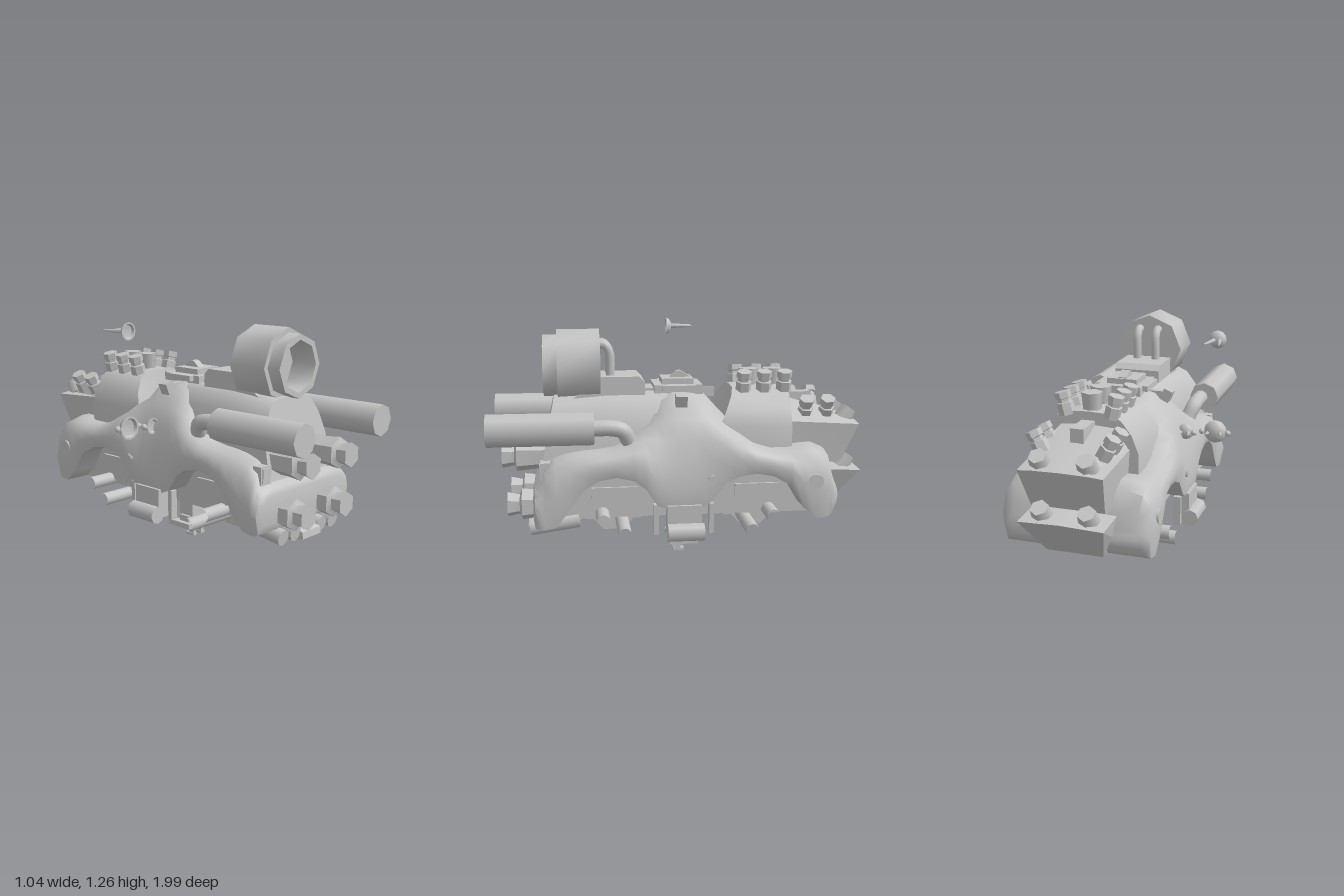
import * as THREE from 'three';
import { toCreasedNormals } from 'three/addons/utils/BufferGeometryUtils.js';

const grey = new THREE.MeshStandardMaterial({ color: 0xc4c4c4 });
grey.name = 'bare grey';

export function createModel() {
  const model = new THREE.Group();
  const vehicle = new THREE.Group();
  vehicle.name = 'vehicle';
  vehicle.position.x = 0.073;
  model.add(vehicle);

  const add = (name, geo, x = 0, y = 0, z = 0, parent = vehicle) => {
    const mesh = new THREE.Mesh(geo, grey);
    mesh.name = name;
    mesh.position.set(x, y, z);
    parent.add(mesh);
    return mesh;
  };
  const pair = (fn) => [1, -1].forEach(fn);
  const box = (name, w, h, d, x, y, z) => add(name, new THREE.BoxGeometry(w, h, d), x, y, z);
  const rodZ = (name, r, z0, z1, x, y, sides = 8) =>
    add(name, new THREE.CylinderGeometry(r, r, z1 - z0, sides).rotateX(Math.PI / 2), x, y, (z0 + z1) / 2);
  const lathe = (pts, sides) => toCreasedNormals(
    new THREE.LatheGeometry(pts.map(([r, y]) => new THREE.Vector2(r, y)), sides), 0.9);
  const pipe = (name, pts, r) => add(name, new THREE.TubeGeometry(
    new THREE.CatmullRomCurve3(pts.map((p) => new THREE.Vector3(...p))), 16, r, 10));

  // Side outline given as [z, y], given a width along x
  const slab = (name, pts, width, x = 0) => {
    const shape = new THREE.Shape(pts.map(([z, y]) => new THREE.Vector2(-z, y)));
    const geo = new THREE.ExtrudeGeometry(shape, { depth: width, bevelEnabled: false });
    return add(name, geo.rotateY(Math.PI / 2), x - width / 2);
  };

  // Skin over mirrored half sections, ordered front to back; each half runs from low edge to crown
  const loft = (halves, crease) => {
    const rings = halves.map((h) => [...h, ...h.slice(0, -1).reverse().map(([x, y, z]) => [-x, y, z])]);
    const n = rings[0].length, index = [];
    for (let i = 0; i < rings.length - 1; i++) {
      for (let j = 0; j < n; j++) {
        const a = i * n + j, b = i * n + (j + 1) % n;
        index.push(a, a + n, b, b, a + n, b + n);
      }
    }
    const last = (rings.length - 1) * n;
    for (let j = 1; j < n - 1; j++) index.push(0, j, j + 1, last, last + j + 1, last + j);
    const geo = new THREE.BufferGeometry();
    geo.setAttribute('position', new THREE.Float32BufferAttribute(rings.flat(2), 3));
    geo.setIndex(index);
    return toCreasedNormals(geo, crease);
  };

  // Hull: [z, underside, crown, width scale]; low stations are flat topped, high ones domed
  const stations = [
    [0.775, 0.3, 0.44, 0.93], [0.765, 0.26, 0.475, 1], [0.735, 0.25, 0.487, 1.01], [0.715, 0.25, 0.57, 1],
    [0.66, 0.26, 0.605, 1], [0.59, 0.35, 0.625, 1], [0.52, 0.45, 0.635, 1], [0.44, 0.5, 0.64, 1],
    [0.35, 0.515, 0.655, 1], [0.26, 0.495, 0.71, 1], [0.2, 0.45, 0.77, 1], [0.14, 0.36, 0.87, 1],
    [0.09, 0.34, 0.92, 1], [0.03, 0.33, 0.945, 1], [-0.08, 0.34, 0.935, 1], [-0.14, 0.37, 0.9, 1],
    [-0.22, 0.47, 0.81, 1], [-0.3, 0.505, 0.73, 1], [-0.38, 0.515, 0.66, 1], [-0.47, 0.5, 0.63, 1],
    [-0.56, 0.45, 0.63, 1.02], [-0.63, 0.33, 0.64, 1.04], [-0.7, 0.265, 0.645, 1.04],
    [-0.765, 0.275, 0.615, 1.03], [-0.795, 0.3, 0.5, 0.99], [-0.82, 0.34, 0.44, 0.92],
  ];
  const flat = [[0.37, 0], [0.39, 0.45], [0.37, 0.75], [0.33, 0.94], [0.25, 1], [0.12, 1], [0, 1]];
  const dome = [[0.37, 0], [0.385, 0.18], [0.35, 0.39], [0.32, 0.59], [0.27, 0.75], [0.17, 0.93], [0, 1]];
  const mix = THREE.MathUtils.lerp;
  add('hull', loft(stations.map(([z, low, top, w]) => {
    const k = THREE.MathUtils.clamp((top - 0.64) / 0.3, 0, 1);
    return flat.map((f, i) => [mix(f[0], dome[i][0], k) * w, mix(low, top, mix(f[1], dome[i][1], k)), z]);
  }), 1.1));
  box('chassis', 0.46, 0.22, 1.35, 0, 0.375, -0.04);

  // Rounded front hood with a raked face, and rounded rear engine cover
  const hood = [[0.26, 0.5], [0.25, 0.68], [0.215, 0.79], [0.165, 0.865], [0.11, 0.89], [0, 0.895]];
  add('frontHood', loft([
    hood.map(([x, y]) => [x, y, 0.735 - 0.2 * (y - 0.53)]),
    hood.map(([x, y]) => [x * 0.95, y + (y > 0.75 ? 0.025 : 0), 0.38]),
    hood.map(([x, y]) => [x * 0.95, y + (y > 0.75 ? 0.025 : 0), 0.06]),
  ], 0.7));
  const cover = [[0.26, 0.52], [0.26, 0.74], [0.225, 0.83], [0.17, 0.9], [0.1, 0.93], [0, 0.935]];
  add('engineCover', loft([
    cover.map(([x, y]) => [x, y, -0.2 - Math.max(0, y - 0.74) * 0.48]),
    cover.map(([x, y]) => [x, y, -0.59]),
  ], 0.6));

  // Chamfered, tapering tail blocks with angled hexagonal plugs
  add('upperTail', loft([
    [[0.2, 0.5, -0.56], [0.215, 0.76, -0.56], [0.14, 0.87, -0.56], [0, 0.88, -0.56]],
    [[0.19, 0.53, -0.88], [0.215, 0.735, -0.97], [0.14, 0.742, -0.973], [0, 0.745, -0.974]],
  ], 0.2));
  add('lowerTail', loft([
    [[0.18, 0.265, -0.6], [0.22, 0.5, -0.6], [0, 0.53, -0.6]],
    [[0.15, 0.265, -0.8], [0.22, 0.48, -0.985], [0, 0.49, -0.99]],
  ], 0.2));
  pair((s) => [0.775, 0.515].forEach((y) => {
    add('tailPlug', new THREE.CylinderGeometry(0.046, 0.054, 0.08, 6), s * 0.12, y, -0.92).rotation.x = -0.6;
  }));

  // Stub exhausts on the engine cover and tail
  const stub = lathe([[0, -0.04], [0.042, -0.04], [0.042, 0.022], [0.034, 0.026], [0.034, 0.042],
    [0.041, 0.045], [0.041, 0.078], [0, 0.078]], 6);
  pair((s) => {
    [-0.35, -0.46, -0.57].forEach((z) => {
      add('coverExhaust', stub, s * 0.125, 0.945, z).rotation.z = -s * 0.25;
    });
    [-0.68, -0.795].forEach((z) => {
      add('tailExhaust', stub, s * 0.17, 0.81, z).rotation.z = -s * 0.5;
    });
  });
  [-0.4, -0.53].forEach((z) => add('centreVent', new THREE.CylinderGeometry(0.055, 0.045, 0.1, 6), 0, 0.97, z));
  box('tailHatch', 0.07, 0.09, 0.16, 0, 0.845, -0.665);

  // Main cannon with recessed bore, pedestal and feed pipes
  add('mainCannon', lathe([[0, 0], [0.193, 0], [0.193, 0.225], [0.165, 0.225], [0.165, 0.3],
    [0.135, 0.3], [0.135, 0.15], [0, 0.15]], 8).rotateX(Math.PI / 2), 0, 1.05, 0.415);
  slab('cannonPedestal', [[0.18, 0.9], [0.18, 0.97], [0.21, 1], [0.45, 1], [0.54, 0.9], [0.6, 0.87]], 0.26);
  pair((s) => pipe('feedPipe', [[s * 0.055, 1.16, 0.43], [s * 0.055, 1.165, 0.395],
    [s * 0.055, 1.13, 0.365], [s * 0.055, 0.97, 0.36]], 0.024));

  pair((s) => {
    // Long side barrels and their curved supply pipes
    rodZ('sideBarrel', 0.085, 0.46, 1, s * 0.328, 0.765);
    pipe('barrelPipe', [[s * 0.308, 0.762, 0.48], [s * 0.308, 0.762, 0.37], [s * 0.303, 0.745, 0.31],
      [s * 0.28, 0.69, 0.28]], 0.042);
    // Front thrusters
    [[0.6, 0.7], [0.335, 0.68]].forEach(([y, z]) => add('frontThruster',
      lathe([[0, 0], [0.076, 0], [0.076, 0.08], [0.085, 0.16], [0.07, 0.165], [0.055, 0.172],
        [0.055, 0.185], [0.066, 0.235], [0, 0.235]], 6).rotateX(Math.PI / 2), s * 0.163, y, z));
    // Headlight frames with inset lamp
    box('headlightFrame', 0.08, 0.095, 0.05, s * 0.278, 0.54, 0.71);
    box('headlight', 0.058, 0.073, 0.008, s * 0.278, 0.54, 0.737);
    // Side rollers, brackets and straps
    rodZ('sideRoller', 0.048, -0.1, 0.09, s * 0.397, 0.22);
    box('rollerBracket', 0.08, 0.16, 0.18, s * 0.35, 0.28, 0);
    [-0.145, 0.145].forEach((z) => box('strap', 0.04, 0.16, 0.025, s * 0.34, 0.28, z));
    // Tilted underslung tubes
    [0.11, 0.21].forEach((x) => {
      add('noseTube', new THREE.CylinderGeometry(0.043, 0.043, 0.26, 8).rotateX(Math.PI / 2),
        s * x, 0.235, 0.67).rotation.x = 0.14;
    });
    add('sideMarker', new THREE.CylinderGeometry(0.022, 0.022, 0.02, 3).rotateZ(Math.PI / 2), s * 0.385, 0.5, -0.14);
    add('fenderPort', new THREE.CylinderGeometry(0.04, 0.04, 0.02, 12).rotateZ(Math.PI / 2), s * 0.396, 0.47, -0.69);
    // Roof side pods
    box('podArm', 0.1, 0.04, 0.035, s * 0.18, 0.89, 0);
    box('roofPod', 0.05, 0.065, 0.06, s * 0.235, 0.89, 0).rotation.z = -s * 0.4;
    // Axle tubes (open at the ends) and housings
    [[0.42, 0.29], [0.31, 0.215]].forEach(([z, y]) => add('axleTube',
      new THREE.CylinderGeometry(0.036, 0.036, 0.79, 12, 1, true).rotateZ(Math.PI / 2), 0, y, s > 0 ? z : -z - 0.05));
    const c = s > 0 ? 0.355 : -0.41;
    slab('axleHousing', [[c - 0.155, 0.28], [c - 0.155, 0.21], [c - 0.11, 0.21], [c - 0.055, 0.15],
      [c + 0.055, 0.15], [c + 0.11, 0.21], [c + 0.155, 0.21], [c + 0.155, 0.28]], 0.15);
    slab('axleCover', [[c - 0.12, 0.43], [c - 0.12, 0.36], [c - 0.07, 0.29], [c + 0.07, 0.29],
      [c + 0.12, 0.36], [c + 0.12, 0.43]], 0.49);
    // Belly guns
    box('bellyArm', 0.085, 0.035, 0.07, s * 0.06, 0.115, 0);
    box('bellySight', 0.05, 0.03, 0.16, s * 0.09, 0.075, -0.03);
    box('bellyBarrel', 0.022, 0.14, 0.035, s * 0.032, 0.07, 0);
    box('bellyMuzzle', 0.03, 0.015, 0.06, s * 0.032, 0.008, -0.01);
  });
  slab('noseChute', [[0.82, 0.18], [0.815, 0.215], [0.74, 0.25], [0.52, 0.26], [0.52, 0.215], [0.79, 0.175]], 0.15);
  box('bellyMount', 0.17, 0.14, 0.1, 0, 0.2, 0);

  // Stepped roof station
  [[0.24, 0.05, 0.26, 0.925], [0.3, 0.03, 0.18, 0.935], [0.17, 0.04, 0.17, 0.96]].forEach(
    ([w, h, d, y]) => box('roofStep', w, h, d, 0, y, 0));
  box('roofNeck', 0.16, 0.07, 0.08, 0, 0.895, 0.15);
  slab('roofSight', [[0.04, 0.975], [-0.07, 0.975], [-0.07, 0.985], [-0.02, 1.015], [0, 1.01]], 0.045);
  box('roofFin', 0.02, 0.05, 0.08, 0, 0.895, -0.17);

  // Small cup-shaped drones hovering beside the vehicle
  const cup = (r) => lathe([[0, -r], [r * 0.55, -r * 0.84], [r * 0.9, -r * 0.44], [r, 0],
    [r * 0.82, 0], [r * 0.7, -r * 0.4], [0, -r * 0.6]], 12).rotateX(Math.PI / 2);
  const drone = (x, y, r, depth, tail, ears) => {
    const g = new THREE.Group();
    g.name = 'drone';
    g.position.set(x, y, 0);
    model.add(g);
    add('droneCup', cup(r).scale(1, 1, depth), 0, 0, 0, g);
    pair((s) => {
      const spike = add('droneSpike', new THREE.CylinderGeometry(0.005, 0.013, tail, 6).rotateX(-Math.PI / 2),
        s * r * 0.55, 0, -0.02 - tail / 2, g);
      spike.rotation.y = -s * 0.2;
      if (ears) add('droneEar', new THREE.SphereGeometry(0.016, 8, 6), s * r * 1.12, 0, -0.015, g);
    });
  };
  drone(-0.435, 1.212, 0.048, 0.7, 0.13, false);
  drone(-0.435, 0.705, 0.064, 0.7, 0.05, true);
  drone(-0.268, 0.69, 0.045, 0.7, 0.05, true);

  return model;
}
